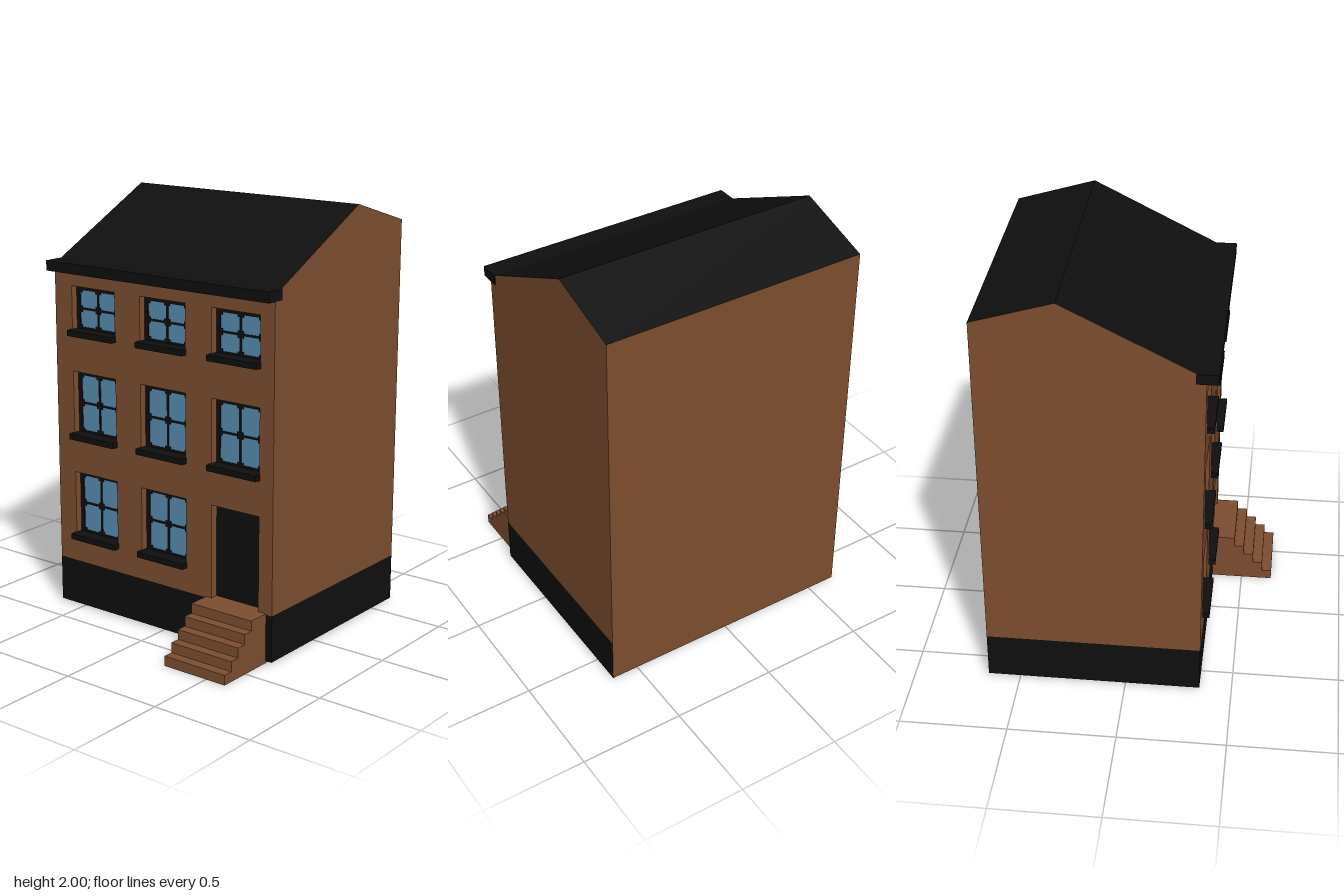
import * as THREE from 'three';

const mat = (name, color) => {
  const m = new THREE.MeshStandardMaterial({ color, side: THREE.DoubleSide });
  m.name = name;
  return m;
};

export function createModel() {
  const brown = mat('brown brick', 0x7d4e2f);
  const black = mat('black trim', 0x0f0f0f);
  const blue = mat('blue glass', 0x588fb4);

  const house = new THREE.Group();
  house.name = 'townHouse';

  const add = (name, geo, material, x = 0, y = 0, z = 0, parent = house) => {
    const m = new THREE.Mesh(geo, material);
    m.name = name;
    m.position.set(x, y, z);
    parent.add(m);
    return m;
  };
  const trace = (path, pts) => {
    pts.forEach(([x, y], i) => (i ? path.lineTo(x, y) : path.moveTo(x, y)));
    path.closePath();
    return path;
  };
  const shape = (pts) => trace(new THREE.Shape(), pts);
  const rect = (x0, y0, x1, y1) => [[x0, y0], [x1, y0], [x1, y1], [x0, y1]];
  // box without its front and back faces
  const sleeve = (w, h, d) => {
    const g = new THREE.BoxGeometry(w, h, d);
    g.setIndex(Array.from(g.index.array.slice(0, 24)));
    g.clearGroups();
    return g;
  };
  // flat sheet facing +x or -x, drawn in (-z, y)
  const sideSheet = (name, pts, material, x, parent = house) => {
    const m = add(name, new THREE.ShapeGeometry(shape(pts.map(([z, y]) => [-z, y]))), material, x, 0, 0, parent);
    m.rotation.y = Math.PI / 2;
    if (x < 0) { // mirrored wall faces the other way
      m.geometry.scale(-1, 1, 1);
      const idx = m.geometry.index.array;
      for (let i = 0; i < idx.length; i += 3) [idx[i], idx[i + 1]] = [idx[i + 1], idx[i]];
      m.geometry.computeVertexNormals();
      m.rotation.y = -Math.PI / 2;
    }
    return m;
  };

  const W = 0.636, F = 0.35, B = -0.65, BASE = 0.233, BOTTOM = 0.011;
  const RIDGE = [-0.28, 2.0], EAVE_F = [F, 1.683], EAVE_B = [B, 1.89];
  const DEPTH = 0.042;

  // openings: three columns by three rows, the lower right one is the door
  const columns = [-0.4, 0.015, 0.428];
  const rows = [[0.365, 0.684], [0.867, 1.18], [1.37, 1.589]];
  const OW = 0.264;
  const doorX = columns[2], doorTop = 0.684;

  // front wall with window holes and a door notch
  const d0 = doorX - OW / 2, d1 = doorX + OW / 2;
  const front = shape([[-W, BASE], [d0, BASE], [d0, doorTop], [d1, doorTop], [d1, BASE],
    [W, BASE], [W, EAVE_F[1]], [-W, EAVE_F[1]]]);
  const windows = [];
  rows.forEach(([y0, y1], r) => columns.forEach((x, c) => {
    if (r === 0 && c === 2) return;
    windows.push({ x, y0, y1 });
    front.holes.push(trace(new THREE.Path(), rect(x - OW / 2, y0, x + OW / 2, y1)));
  }));
  add('frontWall', new THREE.ShapeGeometry(front), brown, 0, 0, F);

  // side gables, back wall and base band
  for (const x of [W, -W]) {
    sideSheet('gableWall', [[F, BASE], [B, BASE], EAVE_B, RIDGE, EAVE_F], brown, x);
    sideSheet('sideBase', [[F, BOTTOM], [B, BOTTOM], [B, BASE], [F, BASE]], black, x);
  }
  add('backWall', new THREE.PlaneGeometry(2 * W, EAVE_B[1] - BOTTOM), brown,
    0, (EAVE_B[1] + BOTTOM) / 2, B).rotation.y = Math.PI;
  add('frontBase', new THREE.PlaneGeometry(2 * W, BASE - BOTTOM), black, 0, (BASE + BOTTOM) / 2, F);

  // roof slopes
  const slope = (name, [za, ya], [zb, yb]) => {
    const m = add(name, new THREE.PlaneGeometry(2 * W, Math.hypot(za - zb, ya - yb)), black,
      0, (ya + yb) / 2, (za + zb) / 2);
    m.rotation.x = Math.atan2(za - zb, yb - ya) * -1;
  };
  slope('frontRoof', EAVE_F, RIDGE);
  slope('backRoof', RIDGE, EAVE_B);
  add('cornice', new THREE.BoxGeometry(1.282, 0.048, 0.097), black, 0, 1.68, 0.3535);

  // windows: recess, notched four-pane frame, glass and sill
  const pane = (x0, y0, x1, y1, n) => [
    [x0 + n, y0], [x1 - n, y0], [x1 - n, y0 + n], [x1, y0 + n], [x1, y1 - n], [x1 - n, y1 - n],
    [x1 - n, y1], [x0 + n, y1], [x0 + n, y1 - n], [x0, y1 - n], [x0, y0 + n], [x0 + n, y0 + n]];
  for (const { x, y0, y1 } of windows) {
    const w = new THREE.Group();
    w.name = 'window';
    w.position.set(x, (y0 + y1) / 2, F);
    house.add(w);
    const h = y1 - y0, a = OW / 2, b = h / 2, edge = 0.022, bar = 0.005;
    add('windowRecess', sleeve(OW, h, DEPTH), brown, 0, 0, -DEPTH / 2, w);
    const frame = shape(rect(-a, -b, a, b));
    for (const sx of [0, 1]) for (const sy of [0, 1]) {
      const px = sx ? bar : -a + edge, py = sy ? bar : -b + edge;
      frame.holes.push(trace(new THREE.Path(),
        pane(px, py, px + a - edge - bar, py + b - edge - bar, 0.011)));
    }
    add('windowFrame', new THREE.ExtrudeGeometry(frame, { depth: 0.008, bevelEnabled: false }),
      black, 0, 0, -DEPTH, w);
    add('glass', new THREE.PlaneGeometry(OW - 0.01, h - 0.01), blue, 0, 0, -DEPTH + 0.004, w);
    add('sill', new THREE.BoxGeometry(0.274, 0.028, 0.07), black, 0, -b - 0.001, -0.002, w);
  }

  // door in its recess
  const doorH = doorTop - BASE, doorY = (doorTop + BASE) / 2;
  add('doorRecess', sleeve(OW, doorH, DEPTH), brown, doorX, doorY, F - DEPTH / 2);
  add('door', new THREE.BoxGeometry(OW, doorH, 0.008), black, doorX, doorY, F - DEPTH);

  // entrance steps: a hollow shell of risers, treads and two cheeks
  const stairs = new THREE.Group();
  stairs.name = 'entranceSteps';
  stairs.position.x = 0.434;
  house.add(stairs);
  const N = 5, RISE = 0.0476, RUN = 0.0482, SW = 0.338, Z0 = 0.651, ZB = 0.307;
  const cheek = [[ZB, 0], [Z0, 0]];
  for (let i = 0; i < N; i++) {
    const z = Z0 - i * RUN, y = i * RISE, zEnd = i === N - 1 ? ZB : z - RUN;
    cheek.push([z, y + RISE], [zEnd, y + RISE]);
    add('riser', new THREE.PlaneGeometry(SW, RISE), brown, 0, y + RISE / 2, z, stairs);
    add('tread', new THREE.PlaneGeometry(SW, z - zEnd), brown, 0, y + RISE, (z + zEnd) / 2, stairs)
      .rotation.x = -Math.PI / 2;
    if (i < N - 1) cheek.push([zEnd, y + RISE]);
  }
  const outline = cheek.filter((p, i) => !i || p[0] !== cheek[i - 1][0] || p[1] !== cheek[i - 1][1]);
  for (const x of [SW / 2, -SW / 2]) sideSheet('stepCheek', outline, brown, x, stairs);

  return house;
}
